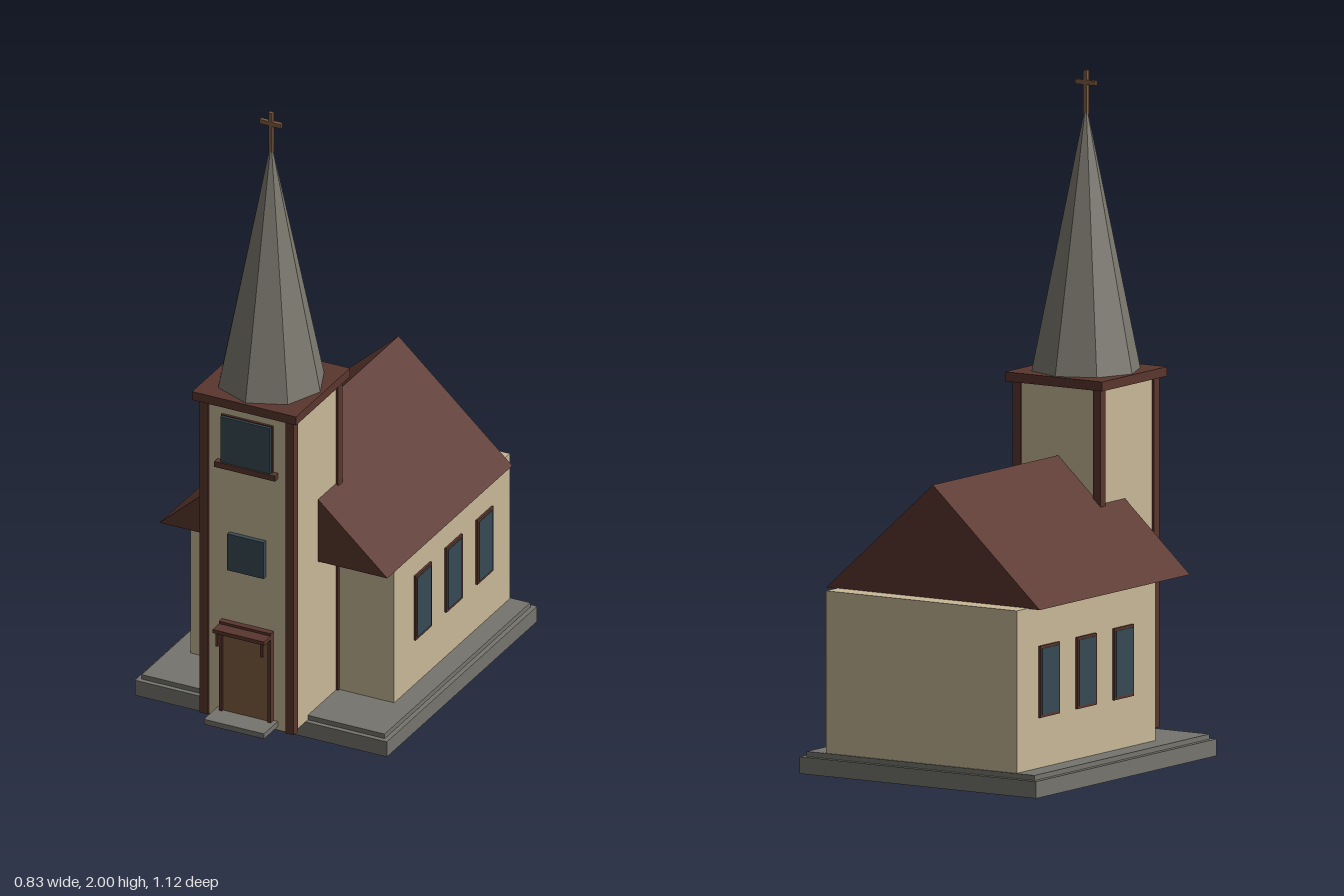
import * as THREE from 'three';

export function createModel() {
  const model = new THREE.Group();
  model.name = 'church';

  const material = (name, color) => {
    const m = new THREE.MeshStandardMaterial({ color });
    m.name = name;
    return m;
  };
  const plaster = material('cream plaster', 0xc8b898);
  const brown = material('dark brown roof and trim', 0x5a362e);
  const stone = material('grey stone', 0x75746d);
  const slate = material('grey spire slate', 0x7b786f);
  const wood = material('door wood', 0x805c40);
  const glass = material('blue window glass', 0x364a54);

  const add = (name, geometry, mat) => {
    const mesh = new THREE.Mesh(geometry, mat);
    mesh.name = name;
    model.add(mesh);
    return mesh;
  };
  // Box given by its extents along each axis
  const box = (name, mat, [x0, x1], [y0, y1], [z0, z1]) => {
    const mesh = add(name, new THREE.BoxGeometry(x1 - x0, y1 - y0, z1 - z0), mat);
    mesh.position.set((x0 + x1) / 2, (y0 + y1) / 2, (z0 + z1) / 2);
    return mesh;
  };

  // Stepped foundation
  box('foundation', stone, [-0.415, 0.415], [0, 0.05], [-0.56, 0.39]);
  box('foundationStep', stone, [-0.4, 0.4], [0.05, 0.065], [-0.545, 0.375]);

  // Nave and its solid gable roof
  box('naveWalls', plaster, [-0.335, 0.335], [0.05, 0.545], [-0.54, 0.19]);
  const gable = new THREE.Shape([
    new THREE.Vector2(-0.375, 0.543),
    new THREE.Vector2(0.375, 0.543),
    new THREE.Vector2(0, 0.88),
  ]);
  const roof = add('naveRoof', new THREE.ExtrudeGeometry(gable, { depth: 0.79, bevelEnabled: false }), brown);
  roof.position.z = -0.48;

  // Three framed windows on each side of the nave
  for (const side of [-1, 1]) {
    for (const z of [0.015, -0.18, -0.375]) {
      const frame = add('naveWindowFrame', new THREE.BoxGeometry(0.009, 0.212, 0.102), brown);
      frame.position.set(side * 0.337, 0.32, z);
      const pane = add('naveWindowGlass', new THREE.BoxGeometry(0.009, 0.196, 0.086), glass);
      pane.position.set(side * 0.339, 0.32, z);
    }
  }

  // Tower with corner posts and cap
  const towerZ = 0.325;
  box('towerWalls', plaster, [-0.147, 0.147], [0.05, 1.09], [towerZ - 0.147, towerZ + 0.147]);
  for (const sx of [-1, 1]) {
    for (const sz of [-1, 1]) {
      const post = add('towerCornerPost', new THREE.BoxGeometry(0.027, 1.04, 0.027), brown);
      post.position.set(sx * 0.141, 0.57, towerZ + sz * 0.141);
    }
  }
  box('towerCap', brown, [-0.171, 0.171], [1.087, 1.115], [towerZ - 0.171, towerZ + 0.171]);

  // Eight-sided spire
  const spireGeometry = new THREE.ConeGeometry(0.162, 0.79, 8).toNonIndexed();
  spireGeometry.computeVertexNormals();
  const spire = add('spire', spireGeometry, slate);
  spire.position.set(0, 1.51, towerZ);

  // Cross
  box('crossPost', wood, [-0.006, 0.006], [1.87, 2], [towerZ - 0.006, towerZ + 0.006]);
  box('crossBar', wood, [-0.035, 0.035], [1.957, 1.971], [towerZ - 0.006, towerZ + 0.006]);

  // Tower windows
  box('belfryWindowFrame', brown, [-0.085, 0.085], [0.9, 1.053], [0.47, 0.479]);
  box('belfryWindow', glass, [-0.082, 0.082], [0.9, 1.05], [0.479, 0.488]);
  box('belfrySill', brown, [-0.1, 0.1], [0.882, 0.9], [0.47, 0.493]);
  box('towerWindow', glass, [-0.06, 0.06], [0.547, 0.667], [0.47, 0.487]);

  // Door, frame, canopy and step
  box('door', wood, [-0.075, 0.075], [0.065, 0.353], [0.47, 0.484]);
  for (const s of [-1, 1]) {
    const jamb = add('doorJamb', new THREE.BoxGeometry(0.01, 0.31, 0.021), brown);
    jamb.position.set(s * 0.08, 0.215, 0.4805);
    const bracket = add('canopyBracket', new THREE.BoxGeometry(0.008, 0.045, 0.008), brown);
    bracket.position.set(s * 0.074, 0.333, 0.524);
  }
  box('doorLintel', brown, [-0.085, 0.085], [0.353, 0.374], [0.47, 0.491]);
  box('doorCanopy', brown, [-0.085, 0.085], [0.354, 0.366], [0.485, 0.532]);
  box('doorStep', stone, [-0.099, 0.099], [0.062, 0.079], [0.465, 0.56]);

  return model;
}
